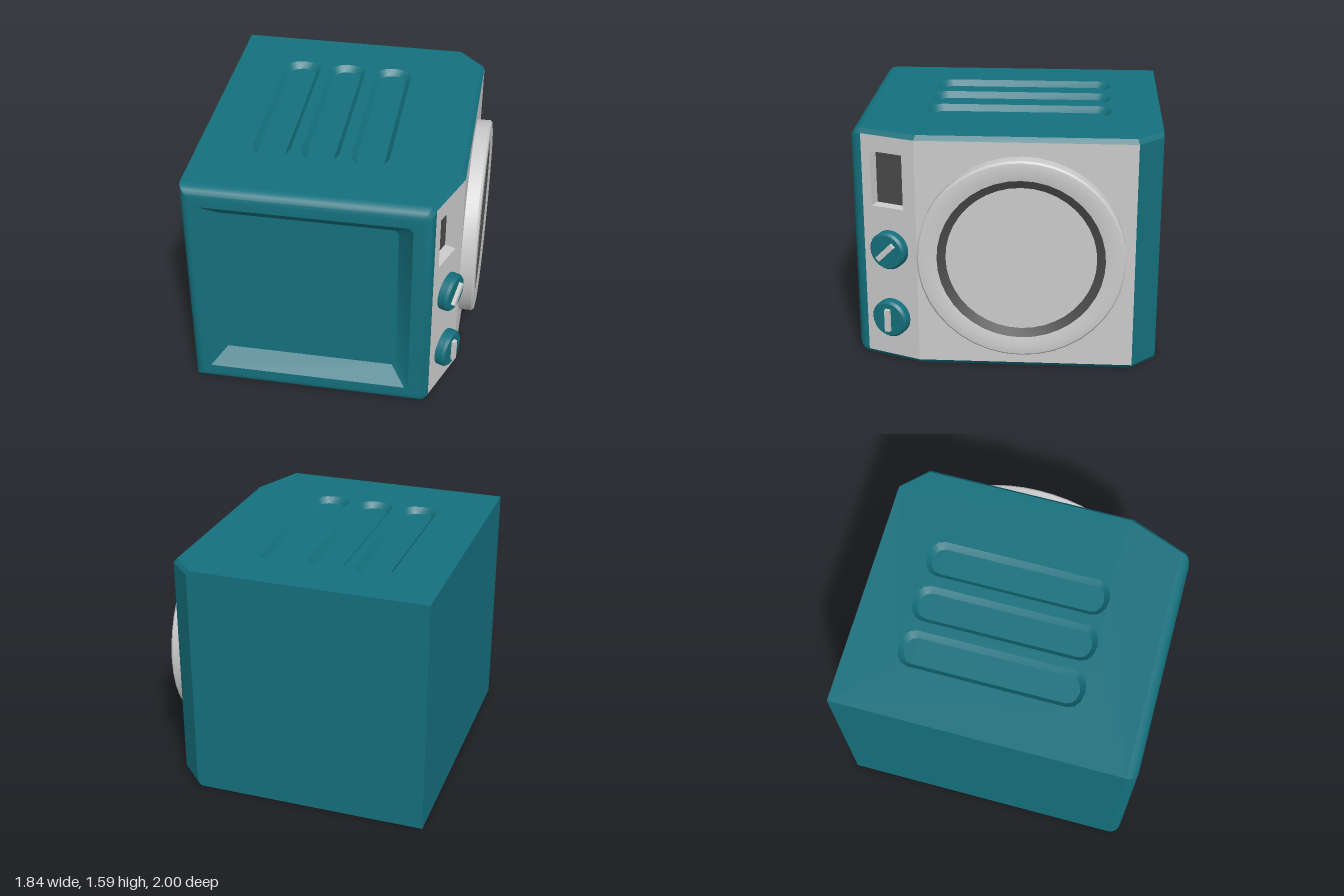
import * as THREE from 'three';
import { toCreasedNormals } from 'three/addons/utils/BufferGeometryUtils.js';

const teal = new THREE.MeshStandardMaterial({ color: 0x14707d });
const grey = new THREE.MeshStandardMaterial({ color: 0xcccccc });
const dark = new THREE.MeshStandardMaterial({ color: 0x4a4a4a });

function add(parent, name, geometry, material) {
  const mesh = new THREE.Mesh(geometry, material);
  mesh.name = name;
  parent.add(mesh);
  return mesh;
}

// Joins counter-clockwise rings of [x, y, z] points; can leave out faces and cap the last ring.
function loft(rings, { cap = false, skip = () => false, crease = 0.5 } = {}) {
  const pos = [];
  const n = rings[0].length;
  for (let k = 0; k < rings.length - 1; k++) {
    for (let i = 0; i < n; i++) {
      if (skip(k, i)) continue;
      const j = (i + 1) % n;
      const [a, b, c, d] = [rings[k][i], rings[k][j], rings[k + 1][j], rings[k + 1][i]];
      pos.push(...a, ...b, ...c, ...a, ...c, ...d);
    }
  }
  if (cap) {
    const last = rings[rings.length - 1];
    for (let i = 1; i < n - 1; i++) pos.push(...last[0], ...last[i], ...last[i + 1]);
  }
  const geo = new THREE.BufferGeometry();
  geo.setAttribute('position', new THREE.Float32BufferAttribute(pos, 3));
  return toCreasedNormals(geo, crease);
}

const at = (pts, z) => pts.map(([x, y]) => [x, y, z]);
const toVectors = (pts) => pts.map(([x, y]) => new THREE.Vector2(x, y));

function flat(outline, holes = []) {
  const shape = new THREE.Shape(toVectors(outline));
  for (const h of holes) shape.holes.push(new THREE.Path(toVectors(h)));
  return new THREE.ShapeGeometry(shape);
}

function lathe(profile, segments) {
  return toCreasedNormals(new THREE.LatheGeometry(toVectors(profile), segments), 0.5);
}

// Rectangle whose right-hand corners are cut off
function frame(x0, y0, x1, y1, cx = 0.025, cy = 0.03) {
  return [[x0, y0], [x1 - cx, y0], [x1, y0 + cy], [x1, y1 - cy], [x1 - cx, y1], [x0, y1]];
}

// Long slot with rounded ends
function slot(cx, y0, y1, halfWidth, end) {
  const pts = [];
  for (const [start, y] of [[0, y1 - end], [Math.PI, y0 + end]]) {
    for (let i = 0; i <= 6; i++) {
      const a = start + (i / 6) * Math.PI;
      pts.push([cx + halfWidth * Math.cos(a), y + end * Math.sin(a)]);
    }
  }
  return pts;
}

export function createModel() {
  const model = new THREE.Group();
  model.name = 'countertopOven';
  const H = 1.59;

  // Plan outlines, drawn as (x, -z): full width and inset for the edge bevels
  const outer = [[-0.92, -0.93], [0.68, -0.93], [0.82, -0.57], [0.82, 0.84], [0.66, 1], [-0.92, 1]];
  const inner = [[-0.92, -0.93], [0.655, -0.93], [0.795, -0.56], [0.795, 0.83], [0.635, 1], [-0.92, 1]];

  // Side walls, open where the front and the grey panels go
  const walls = add(model, 'bodyWalls', loft(
    [at(inner, 0), at(outer, 0.03), at(outer, H - 0.03), at(inner, H)],
    { skip: (k, i) => i === 0 || (k === 1 && (i === 1 || i === 2)), crease: 0.2 }), teal);
  walls.rotation.x = -Math.PI / 2;

  // Top and bottom plates with three sunken vents each
  for (const s of [1, -1]) {
    const plate = new THREE.Group();
    plate.name = s > 0 ? 'topPlate' : 'bottomPlate';
    plate.rotation.x = -s * Math.PI / 2;
    plate.position.y = s > 0 ? H : 0;
    model.add(plate);
    const range = (z0, z1) => (s > 0 ? [-z1, -z0] : [z0, z1]);
    const holes = [];
    for (const x of [-0.445, -0.125, 0.2]) {
      const rim = slot(x, ...range(-0.675, 0.555), 0.125, 0.09);
      const floor = slot(x, ...range(-0.64, 0.52), 0.09, 0.07);
      holes.push(rim);
      add(plate, 'vent', loft([at(rim, 0), at(floor, -0.04)], { cap: true }), teal);
    }
    add(plate, 'plate', flat(inner.map(([x, y]) => [x, s * y]), holes), teal);
  }

  // Front with rounded border and bevelled recess
  const rings = [];
  for (let i = 0; i <= 4; i++) {
    const a = (i / 4) * Math.PI / 2;
    const inset = 0.07 * (1 - Math.cos(a));
    rings.push(at(frame(-0.92 + inset, inset, 0.68 - inset, H - inset), 0.93 + 0.07 * Math.sin(a)));
  }
  rings.push(at(frame(-0.8, 0.13, 0.55, 1.46), 1));
  rings.push(at(frame(-0.7, 0.235, 0.45, 1.36), 0.9));
  add(model, 'frontFace', loft(rings, { cap: true }), teal);

  // Flat side panel
  const side = add(model, 'sidePanel', new THREE.PlaneGeometry(1.41, H - 0.06), grey);
  side.rotation.y = Math.PI / 2;
  side.position.set(0.82, H / 2, -0.135);

  // Round side cover: rim, dark band and disc
  const cover = new THREE.Group();
  cover.name = 'roundCover';
  cover.position.set(0.82, 0.8, -0.11);
  cover.rotation.z = -Math.PI / 2;
  model.add(cover);
  add(cover, 'coverRim', lathe([[0.67, 0], [0.67, 0.085], [0.658, 0.098], [0.61, 0.104], [0.54, 0.09]], 40), grey);
  add(cover, 'coverBand', lathe([[0.54, 0.09], [0.485, 0.065]], 40), dark);
  add(cover, 'coverDisc', lathe([[0.485, 0.065], [0, 0.065]], 40), grey);

  // Slanted control panel with a display window
  const controls = new THREE.Group();
  controls.name = 'controlPanel';
  controls.position.set(0.68, 0, 0.93);
  controls.rotation.y = Math.atan2(0.36, 0.14);
  model.add(controls);
  const width = Math.hypot(0.14, 0.36);
  const windowRing = [[0.064, 1.08], [0.295, 1.08], [0.295, 1.45], [0.064, 1.45]];
  add(controls, 'panelFace',
    flat([[0, 0.03], [width, 0.03], [width, H - 0.03], [0, H - 0.03]], [windowRing]), grey);
  add(controls, 'windowSides', loft([at(windowRing, 0), at(windowRing, -0.075)]), grey);
  const display = add(controls, 'display', flat(windowRing), dark);
  display.position.z = -0.075;

  // Two knobs with pointer bars
  for (const [y, turn] of [[0.8, -Math.PI / 4], [0.315, 0]]) {
    const knob = new THREE.Group();
    knob.name = 'knob';
    knob.position.set(0.198, y, 0);
    knob.rotation.z = turn;
    controls.add(knob);
    const cap = add(knob, 'knobBody', lathe([[0.127, 0], [0.127, 0.05], [0.113, 0.068], [0, 0.068]], 24), teal);
    cap.rotation.x = Math.PI / 2;
    const bar = add(knob, 'knobPointer', new THREE.BoxGeometry(0.036, 0.155, 0.04), grey);
    bar.position.z = 0.072;
  }
  return model;
}
